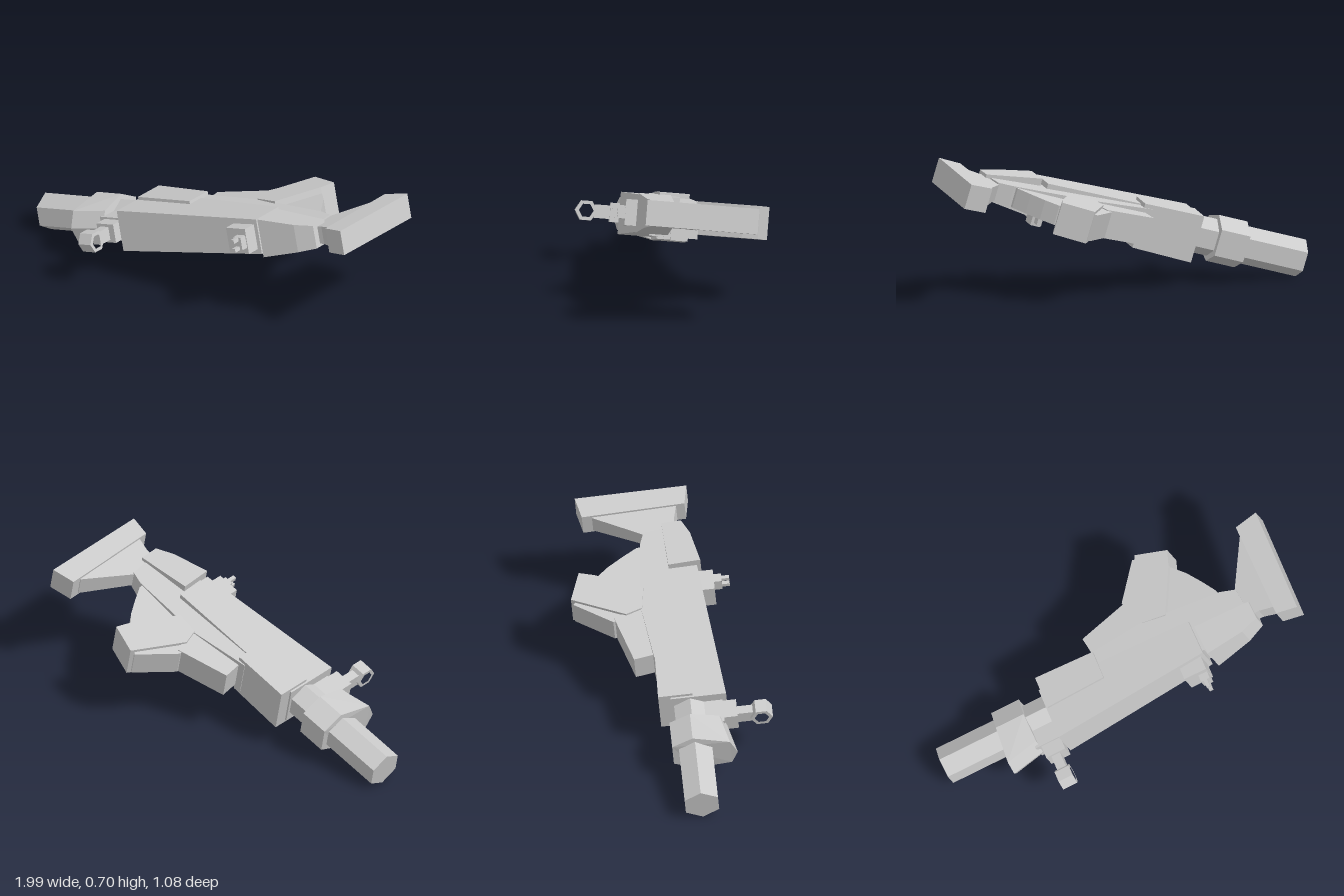
import * as THREE from 'three';

const mat = new THREE.MeshStandardMaterial({ color: 0xcccccc, flatShading: true });

export function createModel() {
  const model = new THREE.Group();

  // Local frame: x runs from muzzle to butt, y is the sight side, z is the thickness
  const rifle = new THREE.Group();
  rifle.name = 'rifle';
  const along = new THREE.Vector3(0.956, 0.263, -0.13).normalize();
  const side = new THREE.Vector3(-0.27, 0.961, -0.055);
  const up = along.clone().cross(side).normalize();
  const out = along.clone().cross(up);
  rifle.quaternion.setFromRotationMatrix(new THREE.Matrix4().makeBasis(along, up, out));
  rifle.position.copy(out).multiplyScalar(-0.345);
  model.add(rifle);

  const add = (name, geo, parent = rifle) => {
    const mesh = new THREE.Mesh(geo, mat);
    mesh.name = name;
    parent.add(mesh);
    return mesh;
  };
  const shapeOf = (pts) => new THREE.Shape(pts.map(([x, y]) => new THREE.Vector2(x, y)));

  // Side outline given a half thickness that may change from its front to its rear
  const plate = (name, pts, h0, h1 = h0) => {
    const geo = new THREE.ExtrudeGeometry(shapeOf(pts), { depth: 2, bevelEnabled: false });
    const xs = pts.map((p) => p[0]);
    const x0 = Math.min(...xs), x1 = Math.max(...xs);
    const p = geo.attributes.position;
    for (let i = 0; i < p.count; i++) {
      const k = (p.getX(i) - x0) / (x1 - x0);
      p.setZ(i, (p.getZ(i) - 1) * (h0 + (h1 - h0) * k));
    }
    geo.computeVertexNormals();
    return add(name, geo);
  };
  const box = (name, x0, x1, y0, y1, z0, z1, parent) =>
    add(name, new THREE.BoxGeometry(x1 - x0, y1 - y0, z1 - z0)
      .translate((x0 + x1) / 2, (y0 + y1) / 2, (z0 + z1) / 2), parent);
  const hexTube = (name, x0, x1, r) =>
    add(name, new THREE.CylinderGeometry(r, r, x1 - x0, 6)
      .rotateZ(Math.PI / 2).translate((x0 + x1) / 2, 0.1, 0));

  // Barrel
  hexTube('barrel', -0.93, -0.5, 0.1);
  hexTube('barrelNeck', -0.5, -0.28, 0.1);

  // Sleeve around the barrel, leaning forward and lower at the rear
  const half = [[0.07, -0.02], [0.125, 0.09], [0.085, 0.28]];
  const ring = [...half, [0, 0.315], ...half.map(([z, y]) => [-z, y]).reverse()];
  const sleeve = new THREE.ExtrudeGeometry(shapeOf(ring), { depth: 0.16, bevelEnabled: false });
  sleeve.rotateY(Math.PI / 2).translate(-0.59, 0, 0);
  const sp = sleeve.attributes.position;
  for (let i = 0; i < sp.count; i++) {
    const y = sp.getY(i);
    if (sp.getX(i) < -0.5) sp.setX(i, sp.getX(i) - 0.1 * Math.max(0, y - 0.09));
    else if (y > 0.2) sp.setY(i, y - 0.04);
  }
  sleeve.computeVertexNormals();
  add('barrelSleeve', sleeve);
  box('gasBlock', -0.45, -0.28, 0.12, 0.265, -0.06, 0.06);

  // Receiver and its panels
  plate('upperReceiver', [[-0.31, 0.0], [0.545, 0.015], [0.55, 0.212], [-0.31, 0.288]], 0.11, 0.095);
  plate('foreEnd', [[-0.3, -0.064], [0.028, -0.055], [0.028, 0.1], [-0.3, 0.115]], 0.126, 0.12);
  plate('lowerReceiver', [[-0.02, -0.06], [0.32, -0.1], [0.75, -0.07], [0.83, -0.045],
    [0.85, 0.1], [0.56, 0.19], [-0.02, 0.1]], 0.1, 0.05);
  plate('rearCover', [[0.565, 0.065], [0.87, 0.053], [0.875, 0.155], [0.78, 0.195], [0.575, 0.232]], 0.105, 0.062);

  // Front hand rest, grip and curved web behind the grip
  plate('handRest', [[0, -0.165], [0.285, -0.245], [0.36, -0.06], [0.02, -0.04]], 0.075);
  plate('gripFront', [[0.26, -0.25], [0.4, -0.445], [0.46, -0.4], [0.42, -0.08], [0.32, -0.09]], 0.07);
  plate('grip', [[0.29, -0.18], [0.423, -0.455], [0.59, -0.4], [0.565, -0.32], [0.448, -0.077], [0.32, -0.094]], 0.086);
  plate('gripWeb', [[0.42, -0.07], [0.53, -0.33], [0.57, -0.315], [0.63, -0.25], [0.685, -0.17],
    [0.735, -0.09], [0.74, -0.05]], 0.052);

  // Stock and butt pad
  plate('stock', [[0.825, -0.048], [0.96, -0.3], [0.985, -0.3], [0.985, 0.14], [0.9, 0.12], [0.83, 0.12]], 0.042, 0.055);
  plate('buttPad', [[0.962, -0.352], [1.088, -0.378], [1.093, 0.203], [0.979, 0.183]], 0.066);

  // Front sight: foot, post and six-sided ring
  const front = new THREE.Group();
  front.name = 'frontSight';
  rifle.add(front);
  box('sightFoot', -0.42, -0.31, 0.25, 0.335, -0.05, 0.05, front);
  box('sightPost', -0.395, -0.345, 0.33, 0.415, -0.035, 0.035, front);
  const circle = (r) => Array.from({ length: 6 }, (_, i) =>
    new THREE.Vector2(r * Math.sin(i * Math.PI / 3), r * Math.cos(i * Math.PI / 3)));
  const eye = new THREE.Shape(circle(0.058));
  eye.holes.push(new THREE.Path(circle(0.038)));
  add('sightRing', new THREE.ExtrudeGeometry(eye, { depth: 0.08, bevelEnabled: false })
    .rotateY(Math.PI / 2).translate(-0.41, 0.458, 0), front);

  // Rear sight: foot, block and two prongs
  const rear = new THREE.Group();
  rear.name = 'rearSight';
  rifle.add(rear);
  box('sightFoot', 0.405, 0.53, 0.19, 0.29, -0.068, 0.068, rear);
  box('sightBlock', 0.475, 0.525, 0.29, 0.33, -0.034, 0.034, rear);
  for (const s of [-1, 1]) {
    box('sightProng', 0.49, 0.51, 0.33, 0.37, s * 0.024 - 0.01, s * 0.024 + 0.01, rear);
  }

  // Catch on one side of the receiver
  box('catchBar', 0.555, 0.58, -0.09, 0.16, 0.05, 0.112);
  box('catchKnob', 0.54, 0.595, -0.04, 0.05, 0.05, 0.128);

  return model;
}
